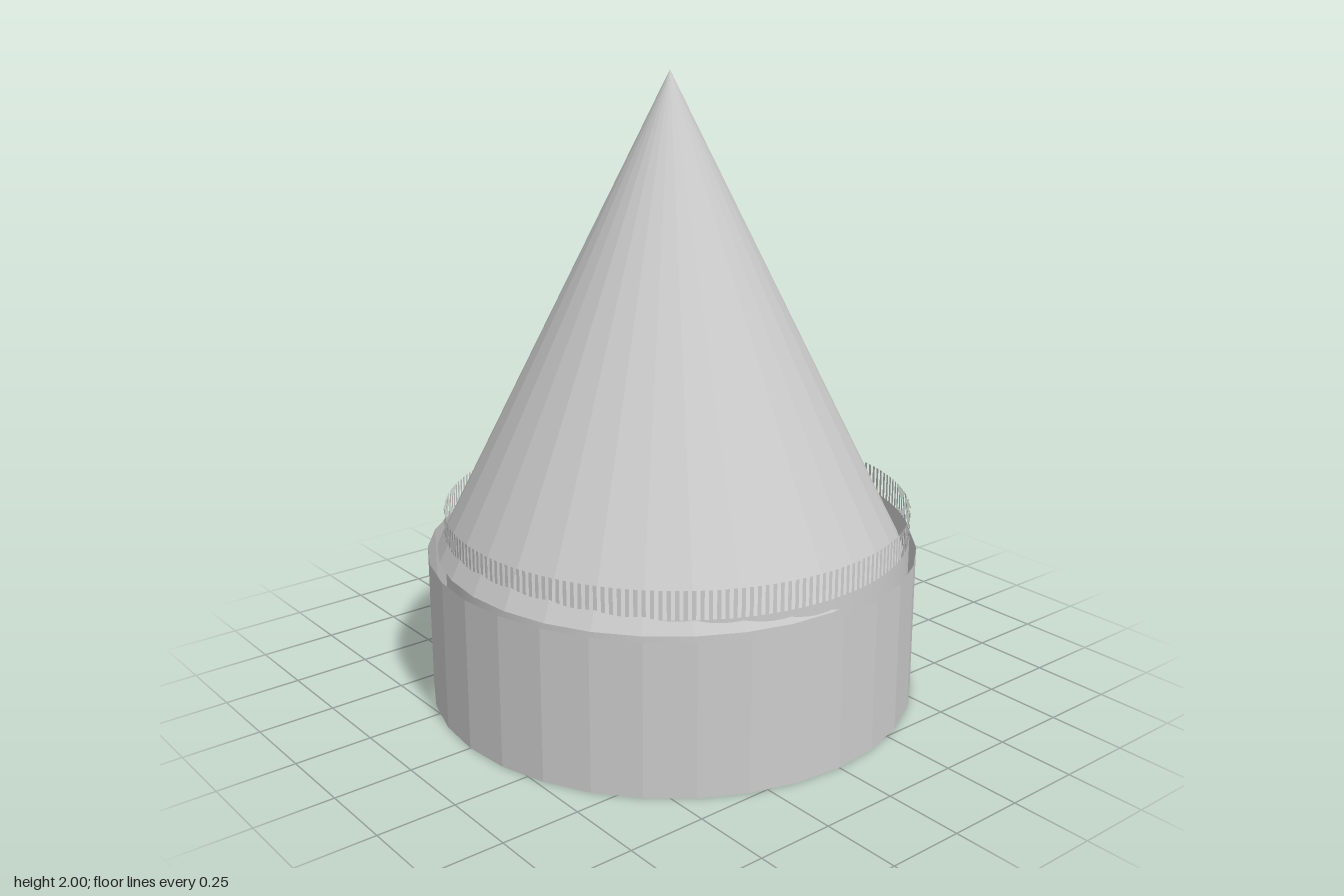
import * as THREE from 'three';
import { mergeGeometries } from 'three/addons/utils/BufferGeometryUtils.js';

export function createModel() {
  const model = new THREE.Group();
  const faceted = new THREE.MeshStandardMaterial({ color: 0xcccccc, flatShading: true, side: THREE.DoubleSide });
  const smooth = new THREE.MeshStandardMaterial({ color: 0xcccccc, side: THREE.DoubleSide });

  const add = (name, geometry, material, parent = model) => {
    const mesh = new THREE.Mesh(geometry, material);
    mesh.name = name;
    parent.add(mesh);
    return mesh;
  };

  // Open wall between two heights, optionally only an arc of it
  const wall = (radius, y0, y1, sides, start = 0, arc = Math.PI * 2) =>
    new THREE.CylinderGeometry(radius, radius, y1 - y0, sides, 1, true, start, arc)
      .translate(0, (y0 + y1) / 2, 0);

  // Round base, open at top and bottom
  add('base', wall(0.793, 0, 0.49, 32), faceted);

  // Cone lid, open underneath
  const lid = add('coneLid', new THREE.ConeGeometry(0.757, 1.51, 32, 1, true), faceted);
  lid.position.set(-0.006, 1.245, 0.003);

  // Thin inner collar, set slightly off centre, with a fringe of teeth on top
  const collar = new THREE.Group();
  collar.name = 'collar';
  collar.position.set(-0.008, 0, -0.028);
  model.add(collar);
  const radius = 0.756;
  add('collarWall', wall(radius, 0.27, 0.53, 200), smooth, collar);

  const count = 200;
  const step = (Math.PI * 2) / count;
  const teeth = [];
  for (let i = 0; i < count; i++) teeth.push(wall(radius, 0.53, 0.62, 1, i * step, step / 2));
  add('collarTeeth', mergeGeometries(teeth), smooth, collar);

  return model;
}
